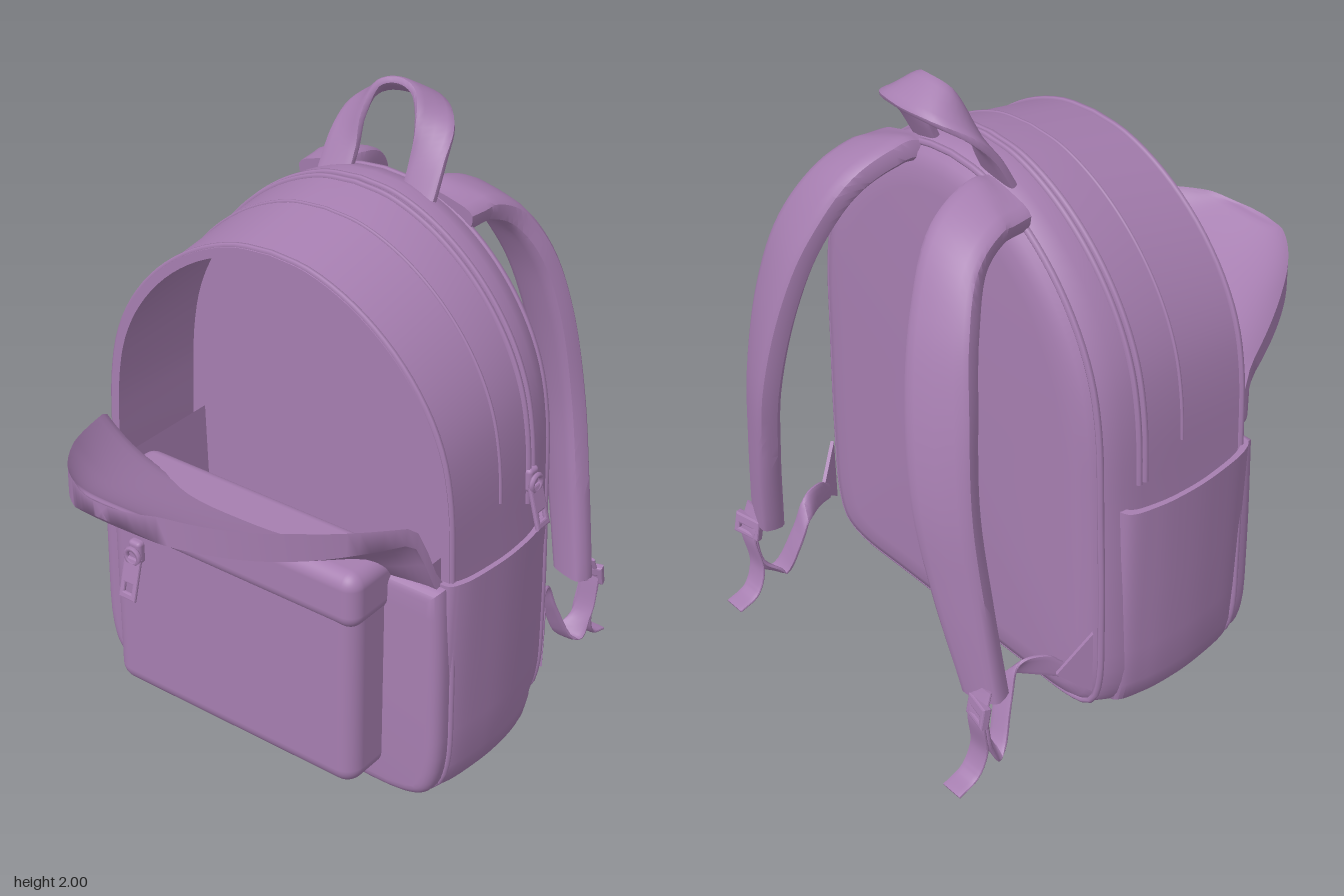
import * as THREE from 'three';
import { toCreasedNormals } from 'three/addons/utils/BufferGeometryUtils.js';
import { RoundedBoxGeometry } from 'three/addons/geometries/RoundedBoxGeometry.js';

const V = (x, y, z) => new THREE.Vector3(x, y, z);
const cloth = new THREE.MeshStandardMaterial({ color: 0xa67eb0 });

function add(parent, name, geometry) {
  const mesh = new THREE.Mesh(geometry, cloth);
  mesh.name = name;
  parent.add(mesh);
  return mesh;
}

// Skin a row of closed rings (counter-clockwise seen from the far end), with both ends closed
function loft(rings, crease = 0.7) {
  const middle = (ring) => {
    const c = ring.reduce((s, p) => s.add(p), V(0, 0, 0)).divideScalar(ring.length);
    return ring.map(() => c);
  };
  const rows = [middle(rings[0]), ...rings, middle(rings[rings.length - 1])];
  const n = rings[0].length, index = [];
  for (let i = 0; i < rows.length - 1; i++) {
    for (let j = 0; j < n; j++) {
      const a = i * n + j, b = i * n + (j + 1) % n;
      if (i > 0) index.push(a, b, b + n);
      if (i < rows.length - 2) index.push(a, b + n, a + n);
      else index.push(a, b, a + n);
    }
  }
  const g = new THREE.BufferGeometry().setFromPoints(rows.flat());
  g.setIndex(index);
  return toCreasedNormals(g, crease);
}

// Padded band: centre points and half-width vectors, with a half thickness
function band(points, widths, thick, steps = 32) {
  const path = new THREE.CatmullRomCurve3(points.map((p) => V(...p)));
  const width = new THREE.CatmullRomCurve3(widths.map((p) => V(...p)));
  const rings = [];
  const soft = (v) => Math.sign(v) * Math.abs(v) ** 0.55;
  for (let i = 0; i <= steps; i++) {
    const t = i / steps, c = path.getPoint(t), w = width.getPoint(t);
    const nrm = path.getTangent(t).cross(w).normalize();
    const ring = [];
    for (let k = 0; k < 16; k++) {
      const a = (k / 16) * Math.PI * 2;
      ring.push(c.clone().addScaledVector(w, soft(Math.cos(a))).addScaledVector(nrm, thick * soft(Math.sin(a))));
    }
    rings.push(ring);
  }
  return loft(rings);
}

// Half of the bag's front outline, bottom centre to top centre
const half = new THREE.CatmullRomCurve3([
  [0, 0.01], [0.3, 0.01], [0.54, 0.015], [0.62, 0.05], [0.655, 0.14], [0.662, 0.4], [0.65, 0.8], [0.635, 1.1],
  [0.6, 1.27], [0.53, 1.42], [0.42, 1.56], [0.28, 1.67], [0.13, 1.735], [0, 1.75],
].map(([x, y]) => V(x, y, 0)), false, 'centripetal').getPoints(52);
const full = [...half, ...half.slice(1, -1).reverse().map((p) => V(-p.x, p.y, 0))];

// Outline at depth z, drawn in by d; the top slopes up toward the back
function outline(z, d = 0) {
  const k = (0.86 + (0.22 - Math.max(z, -0.3)) * 0.2) / 0.95;
  return full.map((p) => {
    const y = p.y > 0.8 ? 0.8 + (p.y - 0.8) * k : p.y;
    return V(p.x * (1 - d / 0.65), 0.86 + (y - 0.86) * (1 - d / 0.86), z);
  });
}

// Cord following the outline, open below yMin
function cord(z, r, yMin, d = 0) {
  const pts = outline(z, d).filter((p) => p.y > yMin);
  return new THREE.TubeGeometry(new THREE.CatmullRomCurve3(pts, yMin < 0), 120, r, 6, yMin < 0);
}

// Flat plate with a rectangular slot
function plate(w, h, slotW, slotH, slotY, depth) {
  const rect = (s, a, b, y) => s.moveTo(-a, y - b).lineTo(a, y - b).lineTo(a, y + b).lineTo(-a, y + b).closePath();
  const s = rect(new THREE.Shape(), w / 2, h / 2, 0);
  s.holes.push(rect(new THREE.Path(), slotW / 2, slotH / 2, slotY));
  return new THREE.ExtrudeGeometry(s, {
    depth, bevelEnabled: true, bevelSize: 0.006, bevelThickness: 0.005, bevelSegments: 2,
  });
}

// Slider and hanging tab, facing +z
function zipPull() {
  const g = new THREE.Group();
  g.name = 'zipPull';
  add(g, 'slider', new RoundedBoxGeometry(0.05, 0.08, 0.035, 2, 0.014));
  const ring = add(g, 'pullRing', new THREE.TorusGeometry(0.026, 0.009, 6, 14));
  ring.position.set(0, -0.01, 0.022);
  const tab = add(g, 'pullTab', plate(0.054, 0.13, 0.042, 0.04, -0.032, 0.004));
  tab.position.set(0, -0.085, 0.034);
  tab.rotation.x = -0.26;
  return g;
}

// Opened front panel, folded forward as a shallow dish with a thick raised rim
function frontFlap() {
  const rings = [], N = 32, R = 30;
  const { smoothstep } = THREE.MathUtils;
  for (let i = 0; i <= R; i++) {
    const t = 0.999 * Math.sin((i / R) * Math.PI / 2);
    const z = 0.22 + 0.63 * t;
    const xl = -0.1 - 0.51 * (1 - t) ** 0.45, xr = -0.1 + 0.73 * (1 - t ** 1.5) ** 0.55;
    const upper = [], lower = [];
    for (let j = 0; j <= N; j++) {
      const s = Math.sin((j / N - 0.5) * Math.PI);
      const x = xl + (xr - xl) * (s + 1) / 2;
      const base = 0.8 + 0.46 * Math.max(0, z - 0.25);
      const side = 0.18 * smoothstep(z, 0.21, 0.34) * Math.min(1, Math.abs(x) / 0.6) ** 3;
      const rim = 1 - (1 - s ** 6 * Math.min(1, 1.6 * t)) * (1 - t ** 6);
      const y = base + side + 0.055 * rim + 0.04 * x * t;
      // The rim rounds over at its outer edge
      const round = 0.02 * smoothstep(t, 0.94, 1);
      upper.push(V(x, y - round, z));
      lower.push(V(x, y - 0.035 - 0.055 * rim + round, z + 0.01 * (1 - t)));
    }
    rings.push([...lower, ...upper.reverse()]);
  }
  return loft(rings, 0.9);
}

// Open-topped pocket on the +x side
function sidePocket() {
  const section = new THREE.CatmullRomCurve3([
    [0.56, 0.225], [0.645, 0.235], [0.672, 0.195], [0.695, 0.06], [0.7, -0.05], [0.688, -0.18], [0.655, -0.27],
    [0.56, -0.28],
  ].map(([x, z]) => V(x, 0, z)), false, 'centripetal').getPoints(42);
  const ring = (y, out, wall = 0) => section.map((p) => V(
    p.x + out - wall, y, (p.z + 0.02) * (1 - wall * 4) - 0.02));
  return loft([
    ring(0.025, -0.05, 0.02), ring(0.06, -0.03), ring(0.13, -0.014), ring(0.27, -0.006), ring(0.5, 0),
    ring(0.81, 0.01), ring(0.81, 0.01, 0.016), ring(0.55, 0, 0.016),
  ]);
}

export function createModel() {
  const bag = new THREE.Group();
  bag.name = 'backpack';

  // Hollow body: back, outer wall, front opening, then the shallow front compartment
  add(bag, 'body', loft([
    outline(-0.378, 0.15), outline(-0.374, 0.09), outline(-0.358, 0.052), outline(-0.325, 0.024),
    outline(-0.27, 0.007), outline(-0.2), outline(-0.04), outline(0.22), outline(0.22, 0.03),
    outline(0.04, 0.03), outline(-0.14, 0.03),
  ]));
  add(bag, 'backPiping', cord(-0.335, 0.011, -1, 0.03));
  add(bag, 'openingPiping', cord(0.208, 0.01, -1));
  add(bag, 'gussetSeam', cord(-0.04, 0.006, 0.95));
  for (const z of [-0.188, -0.212]) add(bag, 'zipTape', cord(z, 0.01, 0.8));

  // Lower front panel
  const low = half.filter((p) => p.y < 0.81);
  const panel = new THREE.Shape([...low, ...low.slice(1).reverse().map((p) => V(-p.x, p.y, 0))]
    .map((p) => new THREE.Vector2(p.x, p.y)));
  add(bag, 'frontPanel', toCreasedNormals(new THREE.ExtrudeGeometry(panel, {
    depth: 0.02, bevelSize: 0.04, bevelOffset: -0.04, bevelThickness: 0.04, bevelSegments: 5,
  }), 0.7)).position.z = 0.22;
  add(bag, 'frontFlap', frontFlap());

  // Front pocket with its hood
  add(bag, 'frontPocket', new RoundedBoxGeometry(0.95, 0.72, 0.24, 5, 0.06)).position.set(-0.01, 0.445, 0.312);
  add(bag, 'pocketHood', new RoundedBoxGeometry(0.97, 0.19, 0.24, 5, 0.05)).position.set(-0.01, 0.765, 0.322);
  const frontPull = zipPull();
  frontPull.position.set(-0.36, 0.63, 0.44);
  const sidePull = zipPull();
  sidePull.position.set(0.645, 0.96, -0.2);
  sidePull.rotation.y = Math.PI / 2;
  bag.add(frontPull, sidePull);

  // Top carrying handle: upright at the feet, lying flat across the top
  const foot = [
    [[0.155, 1.7, -0.29], [0.06, 0, 0]], [[0.152, 1.79, -0.335], [0.058, 0.01, -0.01]],
    [[0.14, 1.88, -0.385], [0.048, 0, -0.035]], [[0.085, 1.948, -0.435], [0.02, -0.025, -0.055]],
  ];
  const flip = foot.map(([p, w]) => [[-p[0], p[1], p[2]], [-w[0], w[1], w[2]]]).reverse();
  const arch = [...foot, [[0, 1.962, -0.45], [0, -0.033, -0.055]], ...flip];
  add(bag, 'handle', band(arch.map((a) => a[0]), arch.map((a) => a[1]), 0.016, 40));

  // Side pockets, shoulder straps and webbing, mirrored
  const triangle = new THREE.Shape([[0, 0.16], [0.11, 0.25], [0, 0.39]].map((p) => new THREE.Vector2(...p)));
  for (const side of [1, -1]) {
    const g = new THREE.Group();
    g.name = side > 0 ? 'leftSide' : 'rightSide';
    g.scale.x = side;
    bag.add(g);
    add(g, 'sidePocket', sidePocket());
    add(g, 'shoulderStrap', band(
      [[0.22, 1.67, -0.33], [0.23, 1.675, -0.42], [0.26, 1.62, -0.54], [0.32, 1.46, -0.64], [0.37, 1.25, -0.7],
        [0.42, 0.95, -0.738], [0.47, 0.65, -0.728], [0.53, 0.31, -0.7]],
      [[0.1, -0.025, 0], [0.1, -0.025, 0], [0.1, -0.02, 0.01], [0.1, 0, 0.025], [0.1, 0, 0.035],
        [0.09, 0, 0.04], [0.08, 0, 0.035], [0.065, 0, 0.02]], 0.042, 40));
    const anchor = add(g, 'strapAnchor', new THREE.ExtrudeGeometry(triangle, { depth: 0.012, bevelEnabled: false }));
    anchor.position.set(0.62, 0, -0.36);
    anchor.rotation.y = 2.08;
    add(g, 'lowerWebbing', band(
      [[0.57, 0.25, -0.43], [0.54, 0.285, -0.49], [0.5, 0.29, -0.57], [0.505, 0.2, -0.61], [0.54, 0.07, -0.67],
        [0.56, 0.14, -0.73], [0.565, 0.28, -0.755]],
      [[0, 0.03, 0], [0.01, 0.038, 0.01], [0.025, 0.032, 0.01], [0.03, 0.02, 0.01], [0.036, 0, 0],
        [0.036, 0, 0], [0.036, 0, 0]], 0.007));
    add(g, 'webbingTail', band(
      [[0.555, 0.36, -0.73], [0.56, 0.26, -0.76], [0.55, 0.12, -0.745], [0.545, 0.04, -0.78], [0.545, 0.012, -0.85]],
      [[0.038, 0, 0], [0.038, 0, 0], [0.038, 0, 0], [0.038, 0, 0], [0.038, 0, 0]], 0.006));
    const buckle = add(g, 'buckle', plate(0.085, 0.06, 0.07, 0.028, -0.008, 0.018));
    buckle.position.set(0.56, 0.29, -0.762);
    buckle.rotation.set(0.2, 0.25, 0);
  }
  return bag;
}
